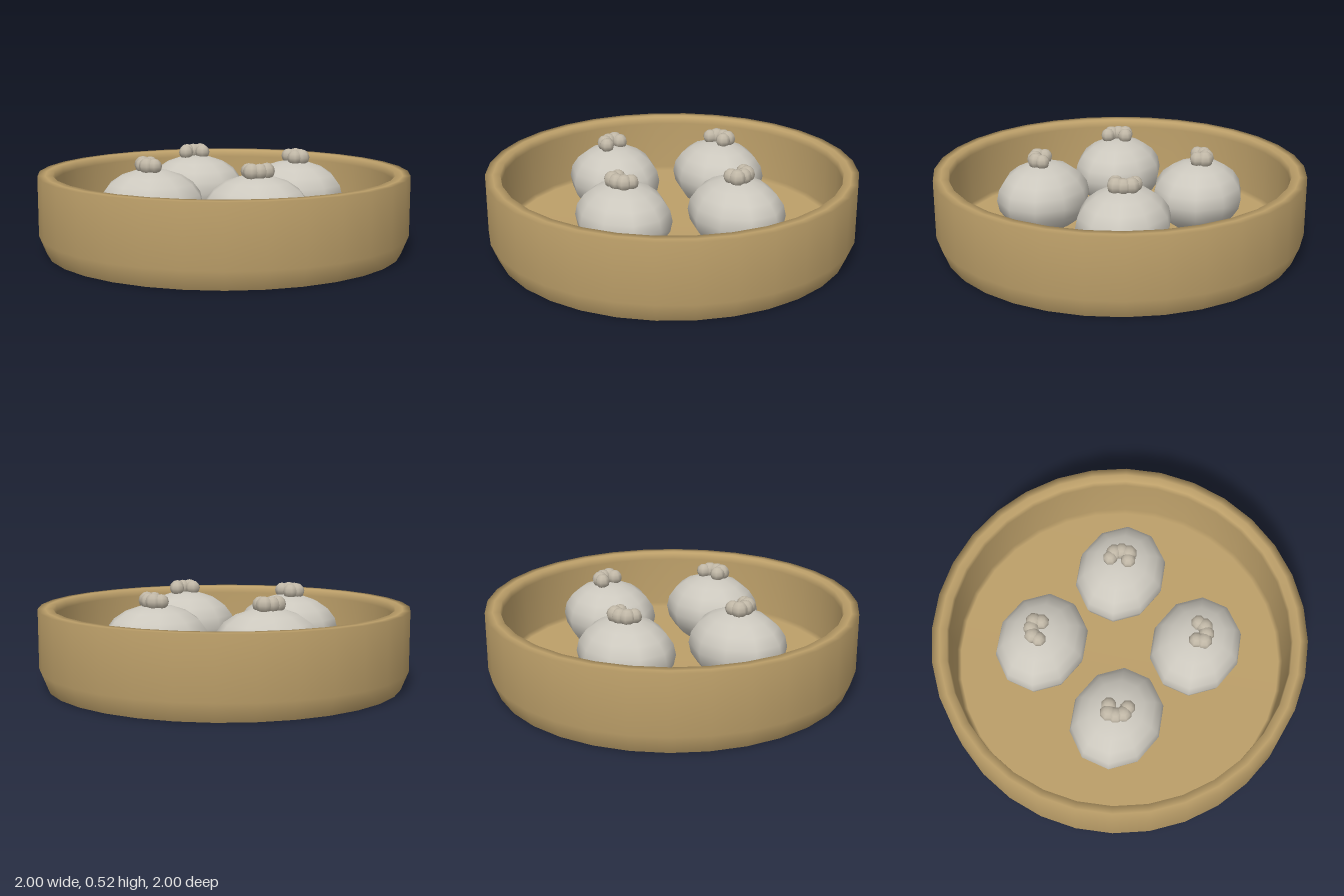
import * as THREE from 'three';

const basketMat = new THREE.MeshStandardMaterial({ color: 0xbc9f69 });
const bunMat = new THREE.MeshStandardMaterial({ color: 0xccc8be });
const knotMat = new THREE.MeshStandardMaterial({ color: 0xc0b7a6 });

function part(name, geometry, material) {
  const mesh = new THREE.Mesh(geometry, material);
  mesh.name = name;
  return mesh;
}

// Round steamer: base, chamfer, outer wall, rim, inner wall and floor in one profile
function createBasket() {
  const profile = [
    [0, 0], [0.95, 0], [0.96, 0], [1, 0.1], [1, 0.42],
    [0.96, 0.42], [0.92, 0.42], [0.915, 0.38], [0.91, 0.1], [0.89, 0.08], [0, 0.08],
  ].map(([r, y]) => new THREE.Vector2(r, y));
  return part('steamerBasket', new THREE.LatheGeometry(profile, 32), basketMat);
}

// Curled twist of dough: overlapping lumps on an arch that opens towards +z
function createKnot() {
  const knot = new THREE.Group();
  knot.name = 'bunKnot';
  const lumps = [
    [-0.048, 0.036, 0.04], [-0.042, -0.002, 0.044], [-0.008, -0.026, 0.043],
    [0.032, -0.03, 0.045], [0.046, 0.008, 0.041],
  ];
  for (const [x, z, r] of lumps) {
    const lump = part('knotLump', new THREE.SphereGeometry(r, 8, 6), knotMat);
    lump.position.set(x, 0, z);
    knot.add(lump);
  }
  return knot;
}

export function createModel() {
  const model = new THREE.Group();
  model.name = 'steamedBuns';
  model.add(createBasket());

  const bodyGeometry = new THREE.SphereGeometry(1, 10, 10);
  bodyGeometry.rotateY(Math.PI / 2);
  bodyGeometry.scale(0.284, 0.19, 0.245);

  // Four buns a quarter turn apart, each knot opening towards the middle
  for (let i = 0; i < 4; i++) {
    const turn = -i * Math.PI / 2;
    const bun = new THREE.Group();
    bun.name = 'bun';
    bun.position.set(-0.165, 0.265, -0.385).applyAxisAngle(new THREE.Vector3(0, 1, 0), turn);
    bun.position.z -= 0.005;
    bun.add(part('bunBody', bodyGeometry, bunMat));

    const knot = createKnot();
    knot.position.set(-0.005, 0.21, -0.015).applyAxisAngle(new THREE.Vector3(0, 1, 0), turn);
    knot.rotation.y = turn;
    bun.add(knot);
    model.add(bun);
  }
  return model;
}
